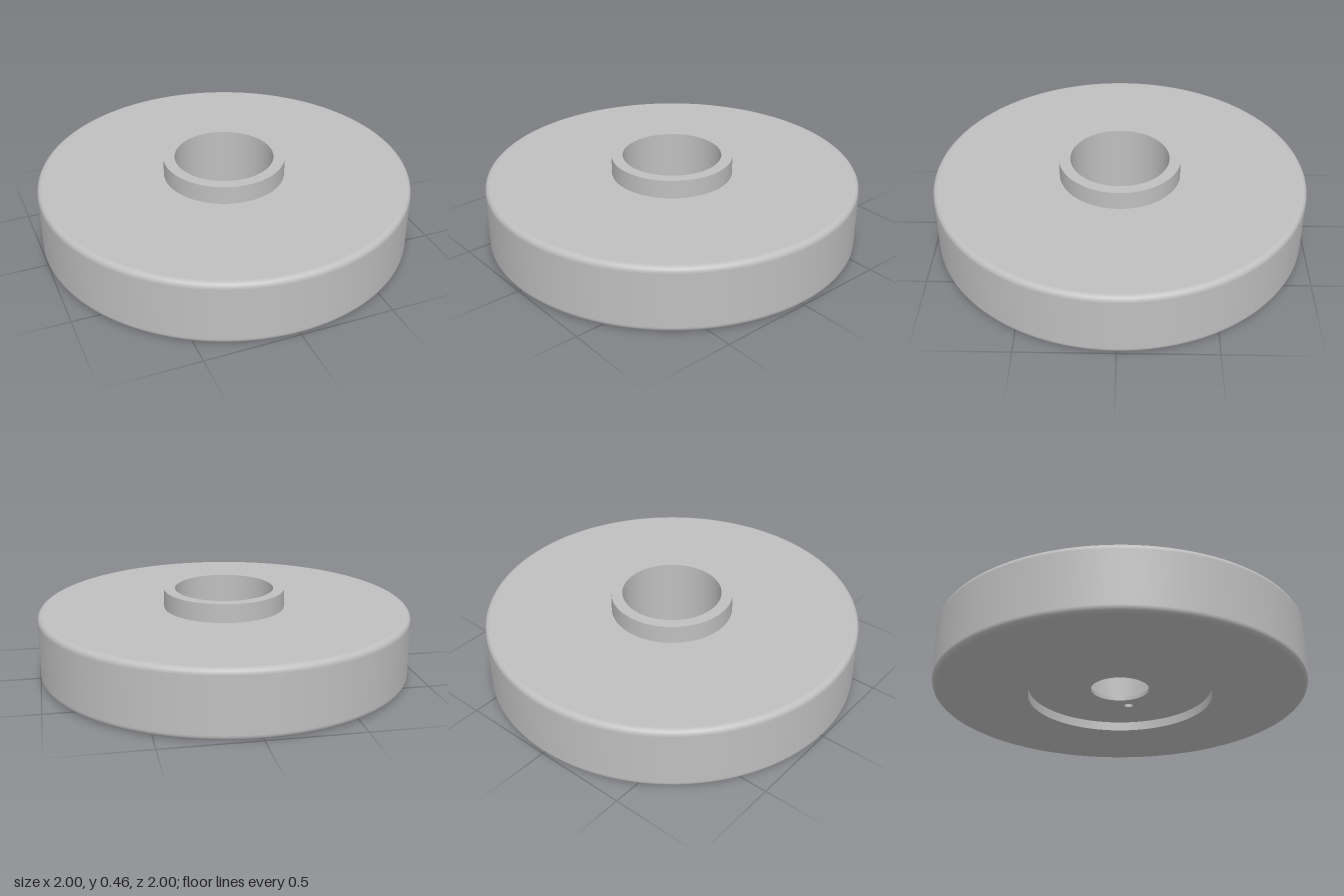
import * as THREE from 'three';

const SEGMENTS = 128;

export function createModel() {
  const model = new THREE.Group();
  model.name = 'hubbedDisc';
  const grey = new THREE.MeshStandardMaterial({ color: 0xbfbfbf });
  grey.name = 'plain grey';

  const R = 1, top = 0.355, fillet = 0.03;
  const hubR = 0.325, hubTop = 0.455, boreR = 0.265;
  const recessR = 0.495, floorBottom = 0.05, floorTop = 0.07;

  // Each profile piece is its own surface, so edges between pieces stay sharp
  const revolve = (name, points) => {
    const profile = points.map(([x, y]) => new THREE.Vector2(x, y));
    const mesh = new THREE.Mesh(new THREE.LatheGeometry(profile, SEGMENTS), grey);
    mesh.name = name;
    model.add(mesh);
  };
  const round = (cy, from) => Array.from({ length: 9 }, (_, i) => {
    const a = from + (i / 8) * Math.PI / 2;
    return [R - fillet + fillet * Math.cos(a), cy + fillet * Math.sin(a)];
  });

  // Disc, from the underside recess round to the top face
  revolve('recessCeiling', [[boreR, floorBottom], [recessR, floorBottom]]);
  revolve('recessWall', [[recessR, floorBottom], [recessR, 0]]);
  revolve('discUnderside', [[recessR, 0], [R - fillet, 0]]);
  revolve('lowerRoundedEdge', round(fillet, -Math.PI / 2));
  revolve('discRim', [[R, fillet], [R, top - fillet]]);
  revolve('upperRoundedEdge', round(top - fillet, 0));
  revolve('discTop', [[R - fillet, top], [hubR, top]]);

  // Raised hub and its deep bore
  revolve('hubWall', [[hubR, top], [hubR, hubTop]]);
  revolve('hubTop', [[hubR, hubTop], [boreR, hubTop]]);
  revolve('boreWall', [[boreR, hubTop], [boreR, floorTop]]);

  // Thin bore floor with the shaft hole and the small pin hole
  const floor = new THREE.Shape().absarc(0, 0, boreR, 0, Math.PI * 2, false);
  for (const [x, r] of [[0, 0.158], [0.237, 0.025]]) {
    floor.holes.push(new THREE.Path().absarc(x, 0, r, 0, Math.PI * 2, true));
  }
  const floorGeometry = new THREE.ExtrudeGeometry(floor, {
    depth: floorTop - floorBottom, bevelEnabled: false, curveSegments: SEGMENTS,
  });
  floorGeometry.rotateX(-Math.PI / 2);
  const boreFloor = new THREE.Mesh(floorGeometry, grey);
  boreFloor.name = 'boreFloor';
  boreFloor.position.y = floorBottom;
  model.add(boreFloor);

  return model;
}
